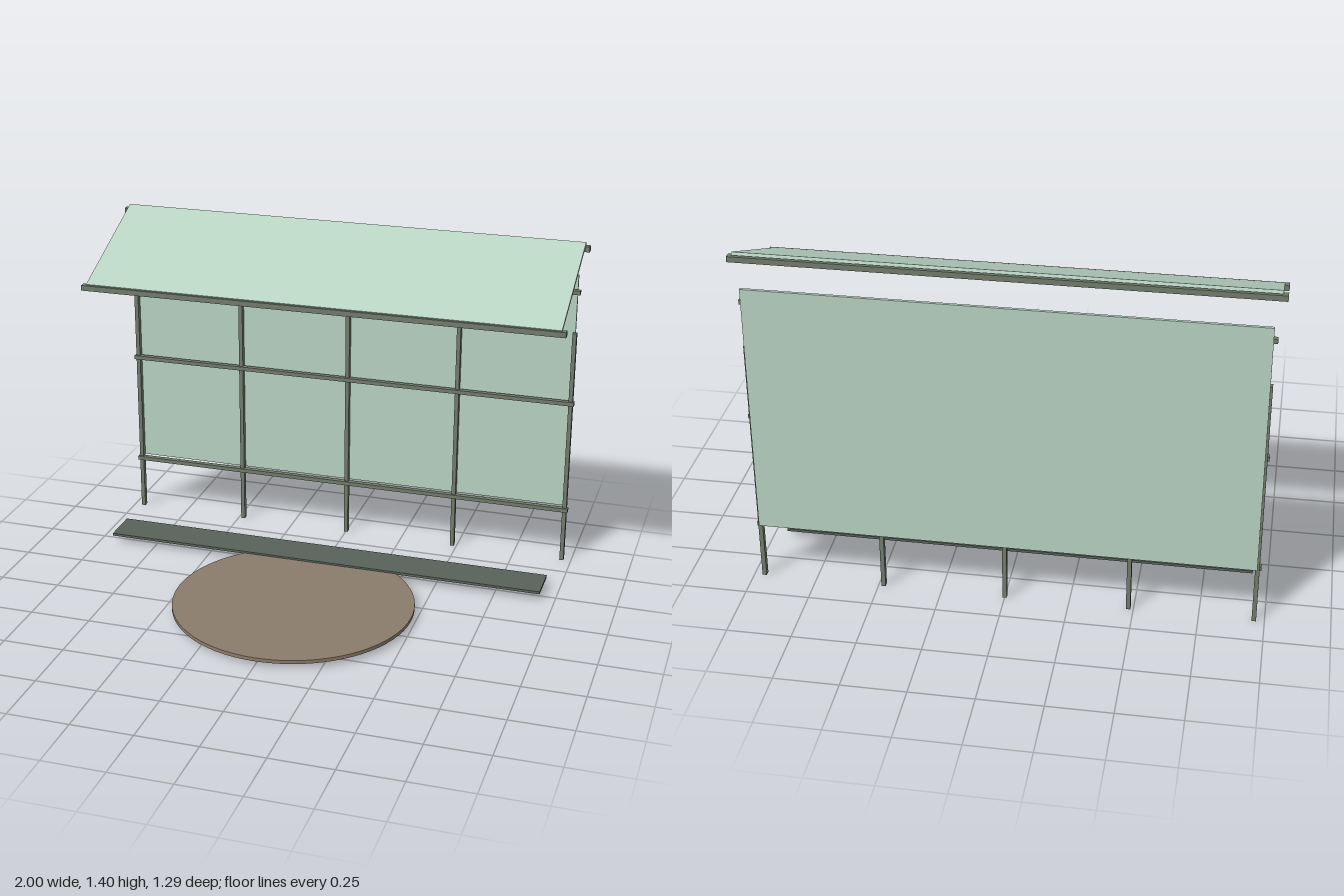
import * as THREE from 'three';

const material = (color) => new THREE.MeshStandardMaterial({ color });

export function createModel() {
  const model = new THREE.Group();
  const frame = material(0x727c6c);
  const glass = material(0xb9d3c3);
  const dark = material(0x59635a);
  const earth = material(0x8c7c6b);

  function add(name, geometry, mat, x, y, z) {
    const mesh = new THREE.Mesh(geometry, mat);
    mesh.name = name;
    mesh.position.set(x, y, z);
    model.add(mesh);
    return mesh;
  }
  const box = (name, mat, w, h, d, x, y, z) =>
    add(name, new THREE.BoxGeometry(w, h, d), mat, x, y, z);

  // Rear wall: evenly spaced posts, horizontal rails and one large pane
  for (let i = -2; i <= 2; i++) {
    box('post', frame, 0.017, 1.022, 0.022, i * 0.48, 0.511, -0.619);
  }
  for (const y of [0.235, 0.717, 1.199]) {
    box('rail', frame, 1.95, 0.017, 0.022, 0, y, -0.611);
  }
  box('backPanel', glass, 1.92, 1.02, 0.012, 0, 0.754, -0.641);

  // Sloping canopy carried by a beam along each long edge
  const low = { y: 1.187, z: -0.14 };
  const high = { y: 1.399, z: -0.633 };
  const rise = high.y - low.y;
  const run = low.z - high.z;
  const roof = box('roofPanel', glass, 1.964, 0.013, Math.hypot(rise, run),
    0, (low.y + high.y) / 2, (low.z + high.z) / 2);
  roof.rotation.x = Math.atan2(rise, run);
  box('frontBeam', frame, 2, 0.022, 0.027, 0, 1.179, -0.14);
  box('backBeam', frame, 2, 0.022, 0.028, 0, 1.379, -0.629);

  // Long floor strip overlapping the round ground disc
  box('floorStrip', dark, 1.88, 0.011, 0.16, 0, 0.037, -0.283);
  add('groundDisc', new THREE.CylinderGeometry(0.491, 0.491, 0.015, 72), earth,
    0, 0.027, 0.156);

  return model;
}
